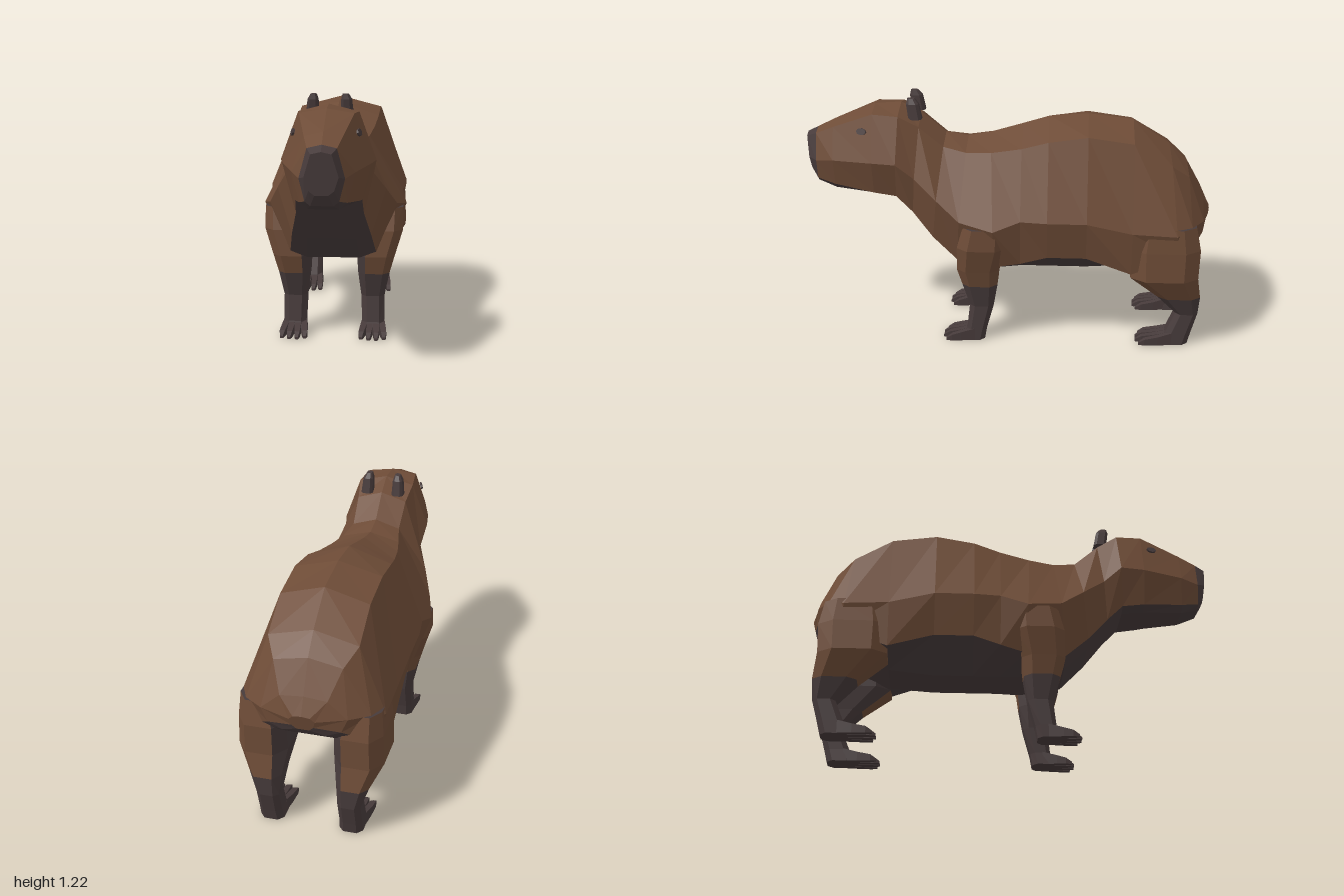
import * as THREE from 'three';

const fur = new THREE.MeshStandardMaterial({ color: 0x6e4c37 });
fur.name = 'brownFur';
const skin = new THREE.MeshStandardMaterial({ color: 0x473b3b });
skin.name = 'darkSkin';

// Skins a list of closed rings; isDark(i, j, y) picks the colour of each facet.
function loft(name, rings, isDark, capDark = [true, true]) {
  const lists = [[], []];
  const tri = (dark, ...pts) => pts.forEach(p => lists[dark ? 1 : 0].push(...p));
  const n = rings[0].length;
  for (let i = 0; i < rings.length - 1; i++) {
    for (let j = 0; j < n; j++) {
      const k = (j + 1) % n;
      const a = rings[i][j], b = rings[i][k], c = rings[i + 1][k], d = rings[i + 1][j];
      const dark = isDark(i, j, (a[1] + b[1] + c[1] + d[1]) / 4);
      if (j < n / 2) { tri(dark, a, b, c); tri(dark, a, c, d); }
      else { tri(dark, a, b, d); tri(dark, b, c, d); }
    }
  }
  const first = rings[0], last = rings[rings.length - 1];
  for (let j = 1; j < n - 1; j++) {
    tri(capDark[0], first[0], first[j + 1], first[j]);
    tri(capDark[1], last[0], last[j], last[j + 1]);
  }
  const geo = new THREE.BufferGeometry();
  geo.setAttribute('position', new THREE.Float32BufferAttribute(lists[0].concat(lists[1]), 3));
  geo.addGroup(0, lists[0].length / 3, 0);
  geo.addGroup(lists[0].length / 3, lists[1].length / 3, 1);
  geo.computeVertexNormals();
  const mesh = new THREE.Mesh(geo, [fur, skin]);
  mesh.name = name;
  return mesh;
}

// Body stations: z, shear, top y, back edge x y, flank x y, lower edge x y, belly edge x, belly y
const head = [
  [1.00, -0.02, 1.02, 0.045, 1.01, 0.075, 0.91, 0.055, 0.85, 0.03, 0.83],
  [0.95, 0.00, 1.045, 0.065, 1.03, 0.10, 0.90, 0.075, 0.80, 0.05, 0.78],
  [0.86, 0.00, 1.09, 0.085, 1.07, 0.14, 0.915, 0.105, 0.78, 0.07, 0.75],
  [0.66, 0.00, 1.17, 0.125, 1.15, 0.20, 0.925, 0.15, 0.755, 0.10, 0.735],
  [0.53, 0.02, 1.18, 0.14, 1.145, 0.22, 0.925, 0.155, 0.74, 0.10, 0.725],
  [0.43, 0.04, 1.13, 0.125, 1.09, 0.205, 0.85, 0.16, 0.66, 0.10, 0.64],
];
const torso = [
  [0.31, 0.06, 1.03, 0.12, 0.99, 0.26, 0.76, 0.19, 0.54, 0.12, 0.52],
  [0.20, 0.05, 1.01, 0.145, 0.97, 0.31, 0.67, 0.21, 0.43, 0.13, 0.40],
  [0.08, -0.03, 1.035, 0.17, 0.98, 0.355, 0.64, 0.27, 0.42, 0.12, 0.36],
  [-0.07, 0.00, 1.08, 0.19, 1.01, 0.335, 0.69, 0.29, 0.45, 0.11, 0.36],
  [-0.20, 0.00, 1.12, 0.205, 1.05, 0.35, 0.69, 0.30, 0.49, 0.11, 0.36],
  [-0.39, 0.00, 1.135, 0.21, 1.08, 0.35, 0.69, 0.30, 0.49, 0.11, 0.36],
];
const rump = [
  [-0.61, 0.00, 1.11, 0.21, 1.05, 0.34, 0.64, 0.32, 0.42, 0.12, 0.38],
  [-0.79, -0.05, 0.99, 0.21, 0.94, 0.34, 0.63, 0.30, 0.50, 0.12, 0.48],
  [-0.88, -0.03, 0.90, 0.16, 0.87, 0.29, 0.66, 0.25, 0.54, 0.12, 0.52],
  [-0.96, 0.00, 0.75, 0.11, 0.74, 0.20, 0.66, 0.17, 0.59, 0.10, 0.56],
  [-1.00, 0.02, 0.67, 0.04, 0.665, 0.06, 0.645, 0.05, 0.61, 0.03, 0.59],
];

function bodyRing([z, shear, yt, we, ye, wm, ym, wl, yl, wb, yb]) {
  const half = [[0, yt], [we, ye], [wm, ym], [wl, yl], [wb, yb], [0, yb]]
    .map(([x, y]) => [x, y, z + shear * (yt - y) / (yt - yb)]);
  return half.concat(half.slice(1, 5).reverse().map(([x, y, zz]) => [-x, y, zz]));
}

// Leg stations from top to ground: y, inner x, outer x, back z, front z
const legs = {
  front: [
    [0.64, 0.16, 0.34, 0.00, 0.21],
    [0.53, 0.14, 0.34, 0.00, 0.24],
    [0.40, 0.115, 0.30, 0.035, 0.245],
    [0.31, 0.12, 0.275, 0.045, 0.22],
    [0.19, 0.135, 0.25, 0.065, 0.185],
    [0.06, 0.14, 0.25, 0.10, 0.20],
    [0.00, 0.135, 0.25, 0.11, 0.22],
  ],
  rear: [
    [0.66, 0.14, 0.33, -0.92, -0.63],
    [0.54, 0.11, 0.34, -0.945, -0.605],
    [0.39, 0.11, 0.345, -0.94, -0.61],
    [0.27, 0.13, 0.285, -0.96, -0.75],
    [0.17, 0.14, 0.25, -0.955, -0.845],
    [0.06, 0.14, 0.25, -0.925, -0.80],
    [0.00, 0.135, 0.25, -0.91, -0.78],
  ],
};

// Eight-sided ring, ordered so the faces point outward on either side
function legRing([y, x0, x1, z0, z1], side) {
  const xc = (x0 + x1) / 2, zc = (z0 + z1) / 2, e = (x1 - x0) * 0.28, d = (z1 - z0) * 0.28;
  const ring = [[x1, zc - d], [x1, zc + d], [xc + e, z1], [xc - e, z1],
    [x0, zc + d], [x0, zc - d], [xc - e, z0], [xc + e, z0]].map(([x, z]) => [x * side, y, z]);
  return side > 0 ? ring : ring.reverse();
}

function makeLeg(kind, side) {
  const group = new THREE.Group();
  group.name = kind + (side > 0 ? 'LeftLeg' : 'RightLeg');
  const rings = legs[kind].map(s => legRing(s, side));
  const furEnd = kind === 'front' ? 0.33 : 0.26;
  // inner faces are bare skin
  const inner = side > 0 ? [3, 4, 5] : [1, 2, 3];
  group.add(loft('leg', rings, (i, j, y) => y < furEnd || inner.includes(j)));

  // four tapering toes
  const back = kind === 'front' ? 0.16 : -0.83;
  const tip = kind === 'front' ? 0.32 : -0.65;
  for (let t = 0; t < 4; t++) {
    const u = t - 1.5;
    const reach = tip - Math.abs(u) * 0.015 + 0.0075;
    const section = (z, spread, w, h) => {
      const x = side * (0.195 + u * spread);
      return [[x + w, 0, z], [x + w, h, z], [x - w, h, z], [x - w, 0, z]];
    };
    group.add(loft('toe', [
      section(back, 0.028, 0.014, 0.065),
      section(back + 0.07, 0.033, 0.015, 0.045),
      section(reach - 0.03, 0.037, 0.013, 0.032),
      section(reach, 0.038, 0.007, 0.012),
    ], () => true));
  }
  return group;
}

function makeEar(side) {
  // ear leaf tapering upward and leaning back
  const ring = (y, x0, x1, z0, z1) => legRing([y, x0, x1, z0, z1], side);
  const ear = loft('ear', [
    ring(1.22, 0.06, 0.088, 0.455, 0.49),
    ring(1.195, 0.053, 0.102, 0.435, 0.495),
    ring(1.12, 0.05, 0.11, 0.42, 0.485),
  ], () => true);
  ear.name = side > 0 ? 'leftEar' : 'rightEar';
  return ear;
}

function makeEye(side) {
  // thin oval set on the cheek
  const geo = new THREE.CylinderGeometry(0.026, 0.026, 0.009, 8).rotateX(Math.PI / 2).scale(1, 0.65, 1);
  const eye = new THREE.Mesh(geo.toNonIndexed(), skin);
  eye.geometry.computeVertexNormals();
  eye.name = side > 0 ? 'leftEye' : 'rightEye';
  eye.position.set(side * 0.148, 1.07, 0.71);
  eye.lookAt(side * (0.148 + 0.92), 1.07 + 0.3, 0.71 + 0.25);
  return eye;
}

export function createModel() {
  const model = new THREE.Group();
  model.name = 'rodent';
  // muzzle, jaw, chest and belly are dark
  model.add(loft('body', [...head, ...torso, ...rump].map(bodyRing),
    (i, j) => i === 0 || (j >= 3 && j <= 6), [true, false]));
  for (const side of [1, -1]) {
    model.add(makeLeg('front', side), makeLeg('rear', side), makeEar(side), makeEye(side));
  }
  return model;
}
